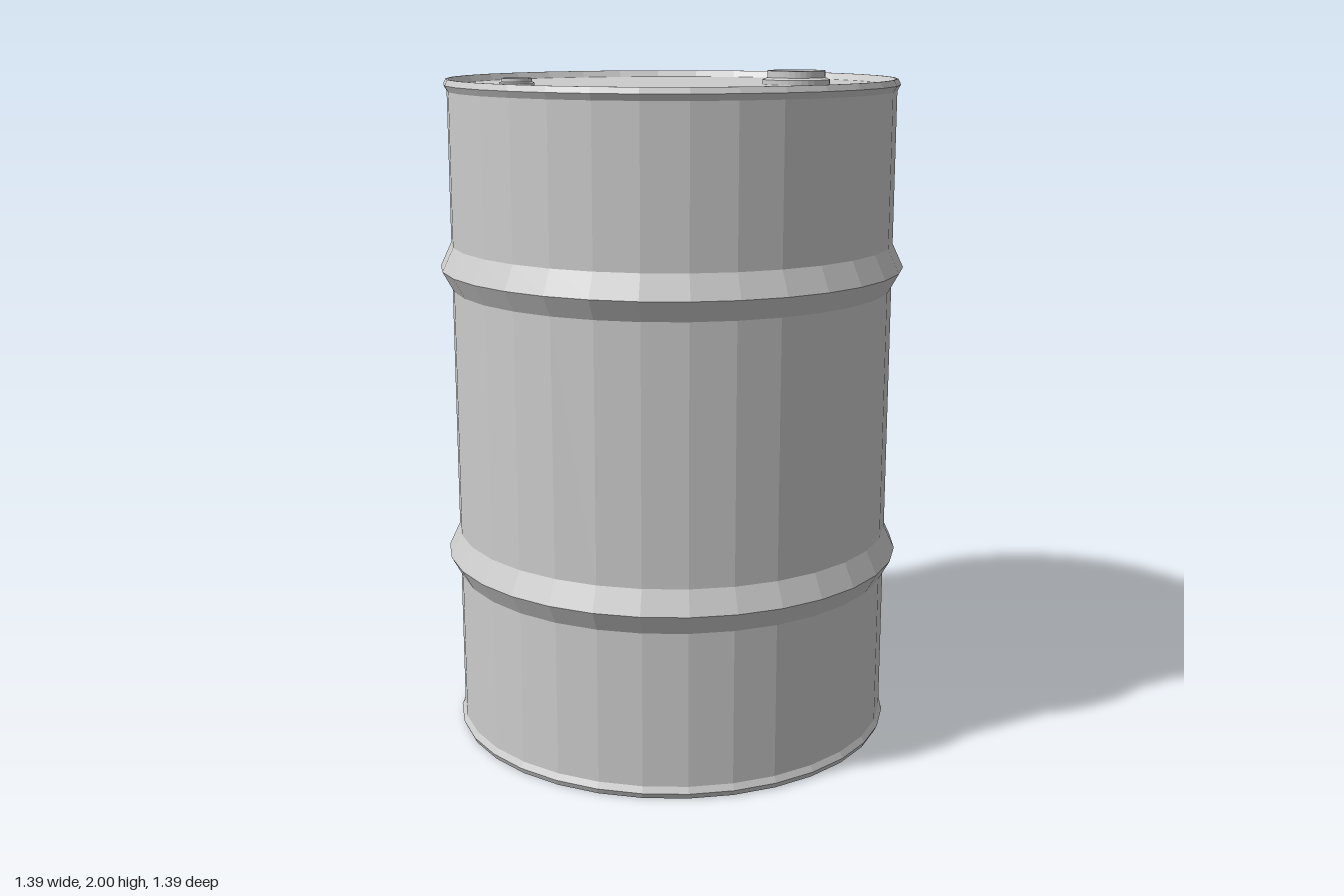
import * as THREE from 'three';

const SIDES = 32;
const material = new THREE.MeshStandardMaterial({ color: 0xcccccc, flatShading: true });

// Revolved part from [radius, height] pairs, listed from bottom to top on the outside
function lathe(name, points, sides = SIDES) {
  const profile = points.map(([r, y]) => new THREE.Vector2(r, y));
  const mesh = new THREE.Mesh(new THREE.LatheGeometry(profile, sides), material);
  mesh.name = name;
  return mesh;
}

// Threaded plug: wide flange, narrower collar and a slightly sunken cap
function plug(name, x, y, flange, collar, cap, height) {
  const mesh = lathe(name, [
    [flange, 0], [flange, height * 0.35], [collar, height * 0.5],
    [collar, height], [cap, height], [cap, height * 0.6], [0, height * 0.6],
  ]);
  mesh.position.set(x, y, 0);
  return mesh;
}

export function createModel() {
  const group = new THREE.Group();
  group.name = 'barrel';

  const R = 0.66, TOP = 1.98, LID = 1.96;

  // Wall with two pointed hoops
  const wall = [[R, 0.035]];
  for (const y of [0.555, 1.43]) wall.push([R, y - 0.06], [0.693, y], [R, y + 0.07]);
  wall.push([R, 1.945]);
  group.add(lathe('wall', wall));

  // Rims folded over the recessed end discs
  group.add(lathe('topRim', [[R, 1.945], [0.67, 1.963], [0.662, TOP], [0.657, TOP], [0.645, LID]]));
  group.add(lathe('bottomRim', [[0.645, 0.018], [0.657, 0], [0.662, 0], [0.67, 0.017], [R, 0.035]]));
  group.add(lathe('lid', [[0.645, LID], [0, LID]]));
  group.add(lathe('base', [[0, 0.018], [0.645, 0.018]]));

  // Filling and vent plugs
  group.add(plug('largePlug', 0.37, LID, 0.1, 0.086, 0.079, 0.04));
  group.add(plug('smallPlug', -0.455, LID, 0.052, 0.045, 0.041, 0.02));

  return group;
}
